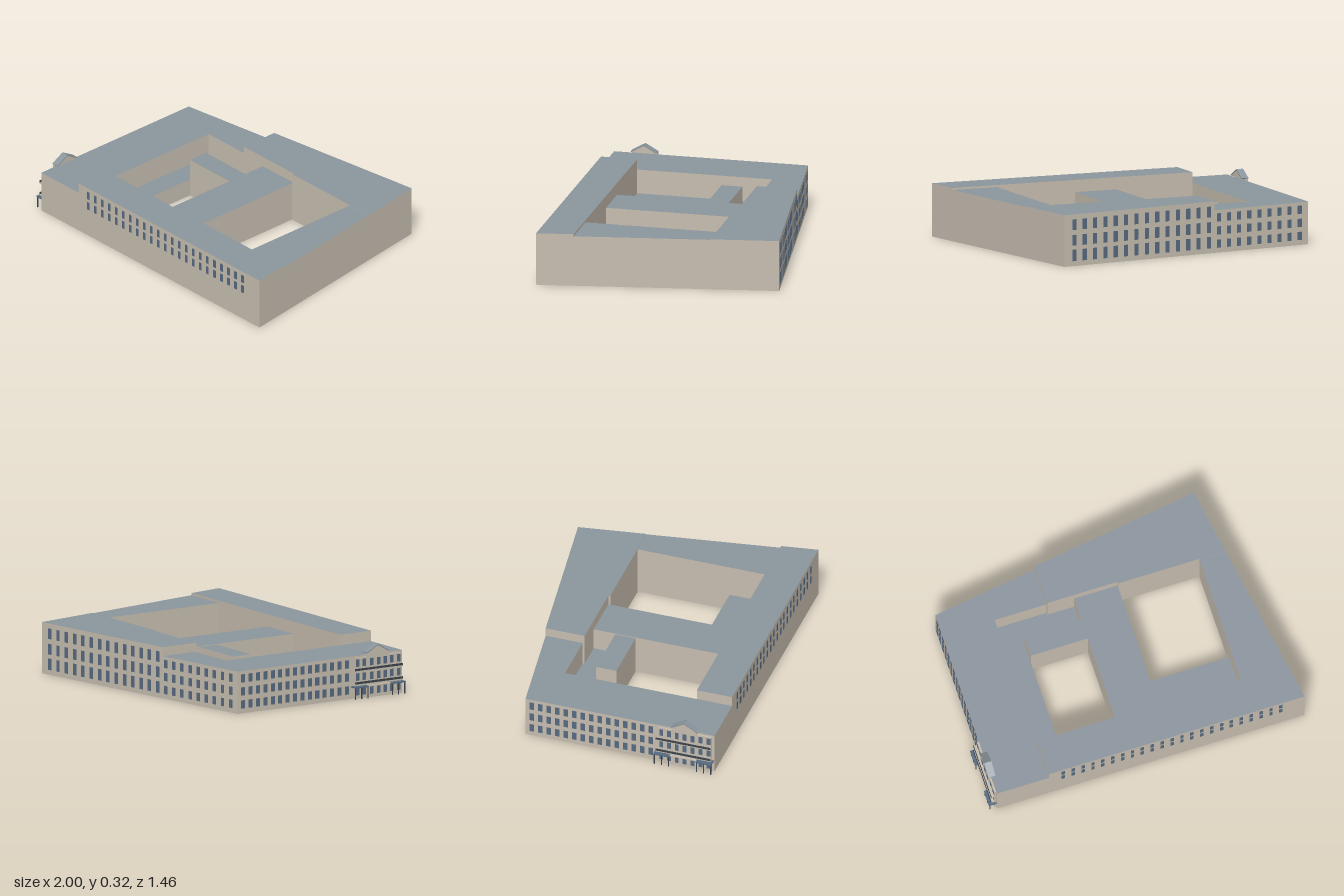
import * as THREE from 'three';
import { mergeGeometries } from 'three/addons/utils/BufferGeometryUtils.js';

const mat = (name, color, side = THREE.FrontSide) => {
  const m = new THREE.MeshStandardMaterial({ color, side });
  m.name = name;
  return m;
};

export function createModel() {
  const model = new THREE.Group();
  const wall = mat('stone wall', 0xc6bdaf, THREE.DoubleSide);
  const roof = mat('slate roof', 0x8b959d, THREE.DoubleSide);
  const glass = mat('window glass', 0x566a80);
  const metal = mat('dark metal', 0x3d444c);

  const add = (name, geo, material, parent = model) => {
    const m = new THREE.Mesh(geo, material);
    m.name = name;
    parent.add(m);
    return m;
  };
  const box = (x0, x1, y0, y1, z0, z1) =>
    new THREE.BoxGeometry(x1 - x0, y1 - y0, z1 - z0)
      .translate((x0 + x1) / 2, (y0 + y1) / 2, (z0 + z1) / 2);

  // Slanted outer edges of the plot
  const backZ = (x) => -0.48 - 0.25 * (x + 0.95) / 1.72;
  const eastX = (z) => 0.77 + 0.23 * (z + 0.73) / 1.455;

  // A wing: open-bottomed walls around a plan [x, z], with a flat roof
  const wing = (name, plan, h) => {
    const g = new THREE.Group();
    g.name = name;
    const pos = [];
    plan.forEach(([ax, az], i) => {
      const [bx, bz] = plan[(i + 1) % plan.length];
      pos.push(bx, 0, bz, ax, 0, az, ax, h, az, bx, 0, bz, ax, h, az, bx, h, bz);
    });
    const walls = new THREE.BufferGeometry();
    walls.setAttribute('position', new THREE.Float32BufferAttribute(pos, 3));
    walls.computeVertexNormals();
    add(name + 'Walls', walls, wall, g);
    const shape = new THREE.Shape(plan.map(([x, z]) => new THREE.Vector2(x, -z)));
    add(name + 'Roof', new THREE.ShapeGeometry(shape).rotateX(-Math.PI / 2).translate(0, h, 0), roof, g);
    model.add(g);
  };
  const rect = (x0, x1, z0, z1) => [[x0, z0], [x1, z0], [x1, z1], [x0, z1]];

  // Outer wings
  wing('westWing', [[-0.95, backZ(-0.95)], [-0.62, backZ(-0.62)], [-0.62, 0.725], [-0.95, 0.725]], 0.26);
  wing('frontWing', [[-0.62, 0.5], [eastX(0.5), 0.5], [1, 0.725], [-0.62, 0.725]], 0.325);
  wing('eastWing', [[0.67, -0.315], [eastX(-0.315), -0.315], [eastX(0.5), 0.5], [0.67, 0.5]], 0.312);
  wing('backWing', [[-0.29, backZ(-0.29)], [0.77, -0.73], [eastX(-0.315), -0.315],
    [0.155, -0.315], [0.155, -0.327], [-0.29, -0.327]], 0.315);
  wing('backLowWing', [[-0.62, backZ(-0.62)], [-0.29, backZ(-0.29)], [-0.29, -0.34], [-0.62, -0.34]], 0.26);

  // Blocks within the courtyards
  wing('middleWing', rect(-0.12, 0.155, -0.327, 0.5), 0.25);
  wing('linkBlock', rect(-0.48, -0.12, -0.19, -0.06), 0.245);
  wing('courtyardAnnex', rect(0.155, 0.67, 0.27, 0.5), 0.11);
  wing('courtyardGallery', [[-0.62, -0.34], [-0.12, -0.34], [-0.12, -0.19],
    [-0.48, -0.19], [-0.48, 0.5], [-0.62, 0.5]], 0.11);

  // Rows of thin window panes along a wall running from a to b
  const windows = (name, a, b, count, rows, w) => {
    const panes = [];
    const angle = -Math.atan2(b[1] - a[1], b[0] - a[0]);
    for (const [y0, y1] of rows) {
      for (let i = 0; i < count; i++) {
        const t = i / (count - 1);
        panes.push(new THREE.BoxGeometry(w, y1 - y0, 0.005).rotateY(angle)
          .translate(a[0] + (b[0] - a[0]) * t, (y0 + y1) / 2, a[1] + (b[1] - a[1]) * t));
      }
    }
    add(name, mergeGeometries(panes), glass);
  };
  windows('frontWindows', [-0.53, 0.725], [0.85, 0.725], 23, [[0.18, 0.23], [0.25, 0.3]], 0.021);
  windows('backWindows', [0.7, backZ(0.7)], [-0.25, backZ(-0.25)], 14,
    [[0.03, 0.1], [0.125, 0.19], [0.22, 0.285]], 0.028);
  windows('backLowWindows', [-0.32, backZ(-0.32)], [-0.89, backZ(-0.89)], 9,
    [[0.03, 0.08], [0.11, 0.16], [0.19, 0.24]], 0.028);
  windows('westWindows', [-0.95, -0.44], [-0.95, 0.32], 15,
    [[0.03, 0.08], [0.11, 0.16], [0.19, 0.24]], 0.028);

  // Entrance front on the west side: bay, balconies, canopy and posts
  const entrance = new THREE.Group();
  entrance.name = 'entrance';
  model.add(entrance);
  add('entranceBay', box(-0.962, -0.95, 0, 0.25, 0.37, 0.71), wall, entrance);
  add('entranceCentre', box(-0.967, -0.95, 0, 0.27, 0.455, 0.615), wall, entrance);
  for (const y of [0.085, 0.167]) {
    add('balconySlab', box(-0.983, -0.95, y, y + 0.007, 0.36, 0.71), wall, entrance);
    add('balconyRail', box(-0.984, -0.98, y + 0.007, y + 0.02, 0.36, 0.71), metal, entrance);
  }
  for (const [z0, z1] of [[0.35, 0.45], [0.62, 0.72]]) {
    add('sideCanopy', box(-1, -0.95, 0.07, 0.077, z0, z1), glass, entrance);
  }
  add('middleCanopy', box(-0.985, -0.95, 0.07, 0.077, 0.45, 0.62), wall, entrance);
  for (const z of [0.355, 0.4, 0.445, 0.625, 0.67, 0.715]) {
    add('canopyPost', box(-0.995, -0.99, 0, 0.07, z - 0.0025, z + 0.0025), metal, entrance);
  }
  for (let i = 0; i < 7; i++) {
    const z = 0.39 + i * 0.05;
    const x = z > 0.455 && z < 0.615 ? -0.967 : -0.962;
    for (const y of [0.02, 0.11, 0.195]) {
      add('entranceWindow', box(x - 0.002, x + 0.002, y, y + 0.045, z - 0.012, z + 0.012), glass, entrance);
    }
  }

  // Small gable above the entrance, with two sloping roof plates
  const gable = new THREE.Shape([[-0.08, 0], [0.08, 0], [0, 0.045]].map((p) => new THREE.Vector2(...p)));
  add('gable', new THREE.ExtrudeGeometry(gable, { depth: 0.04, bevelEnabled: false })
    .rotateY(-Math.PI / 2).translate(-0.927, 0.27, 0.535), wall, entrance);
  for (const s of [-1, 1]) {
    const plate = add('gableRoof', new THREE.BoxGeometry(0.045, 0.006, 0.092), roof, entrance);
    plate.position.set(-0.947, 0.295, 0.535 + s * 0.04);
    plate.rotation.x = s * Math.atan2(0.045, 0.08);
  }
  return model;
}
